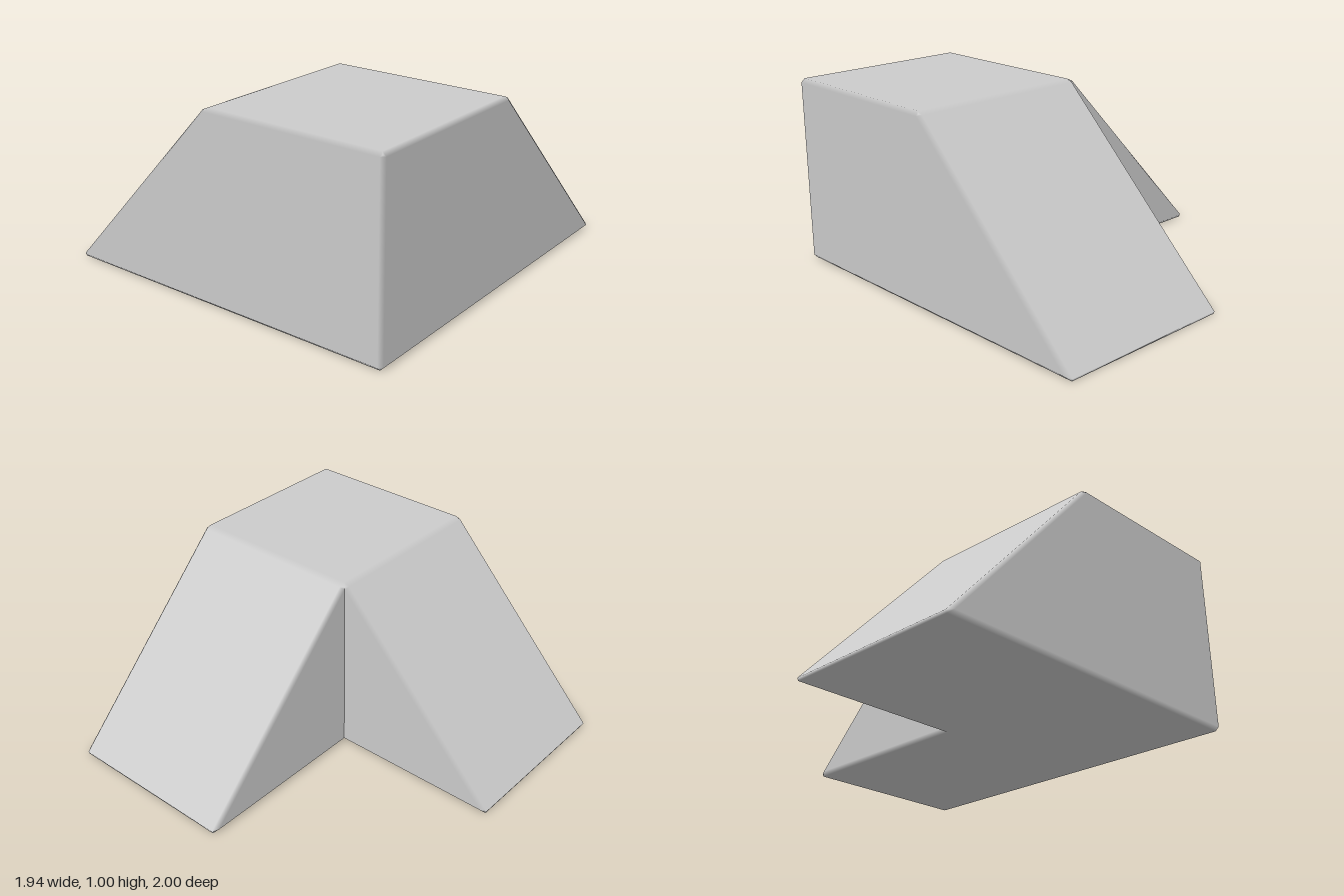
import * as THREE from 'three';

const R = 0.02; // width of the softened edges

// Corners of the L-shaped wedge: a cube with one ramp to -x and one to -z
const V = {
  A: [-0.985, 0, 1], B: [0.97, 0, 1], C: [0.97, 1, 1], D: [-0.035, 1, 1],
  E: [0.97, 1, -0.005], F: [0.97, 0, -1.014], G: [-0.035, 1, -0.005],
  H: [-0.985, 0, -0.005], I: [-0.035, 0, -1.014], J: [-0.035, 0, -0.005],
};
for (const k in V) V[k] = new THREE.Vector3(...V[k]);

// front, right, top, side ramp, back ramp, two notch walls, underside
const FACES = ['ABCD', 'BFEC', 'DCEG', 'HADG', 'FIGE', 'JHG', 'IJG', 'JIFBAH'];
// The inner edge of the notch stays sharp
const inset = (a, b) => (a + b === 'GJ' || a + b === 'JG' ? 0 : R);

function beveledSolid() {
  const pos = [], nor = [];
  const tri = (...pts) => pts.forEach(({ p, n }) => {
    pos.push(p.x, p.y, p.z);
    nor.push(n.x, n.y, n.z);
  });
  const edgeOwner = {}; // 'AB' -> face holding that directed edge

  // Flat faces, each drawn in from its edges
  const faces = FACES.map((names) => {
    const count = names.length, n = new THREE.Vector3(), corner = {}, next = {};
    for (let i = 0; i < count; i++) {
      n.add(new THREE.Vector3().crossVectors(V[names[i]], V[names[(i + 1) % count]]));
    }
    n.normalize();
    const face = { names, corner, next };
    for (let i = 0; i < count; i++) {
      const k = names[i], a = names[(i + count - 1) % count], b = names[(i + 1) % count];
      const toPrev = V[a].clone().sub(V[k]).normalize();
      const toNext = V[b].clone().sub(V[k]).normalize();
      const s = new THREE.Vector3().crossVectors(toNext, toPrev).dot(n);
      const p = V[k].clone()
        .addScaledVector(toNext, inset(a, k) / s)
        .addScaledVector(toPrev, inset(k, b) / s);
      corner[k] = { p, n };
      next[k] = b;
      edgeOwner[k + b] = face;
    }
    for (let i = 1; i < count - 1; i++) {
      tri(corner[names[0]], corner[names[i]], corner[names[i + 1]]);
    }
    return face;
  });

  // Softened strips along the edges, shaded smoothly from face to face
  for (const f of faces) {
    for (const a of f.names) {
      const b = f.next[a];
      if (a > b || inset(a, b) === 0) continue;
      const g = edgeOwner[b + a];
      tri(f.corner[b], f.corner[a], g.corner[a]);
      tri(f.corner[b], g.corner[a], g.corner[b]);
    }
  }

  // Corner caps: a fan through every face that meets at the corner
  for (const k in V) {
    const ring = [], start = faces.find((f) => f.names.includes(k));
    let f = start;
    do {
      ring.unshift(f.corner[k]);
      f = edgeOwner[f.next[k] + k];
    } while (f !== start);
    const mid = { p: new THREE.Vector3(), n: new THREE.Vector3() };
    ring.forEach((c) => {
      mid.p.addScaledVector(c.p, 1 / ring.length);
      mid.n.add(c.n);
    });
    mid.n.normalize();
    ring.forEach((c, i) => tri(mid, c, ring[(i + 1) % ring.length]));
  }

  const geo = new THREE.BufferGeometry();
  geo.setAttribute('position', new THREE.Float32BufferAttribute(pos, 3));
  geo.setAttribute('normal', new THREE.Float32BufferAttribute(nor, 3));
  return geo;
}

export function createModel() {
  const group = new THREE.Group();
  group.name = 'cornerRamp';
  const block = new THREE.Mesh(
    beveledSolid(),
    new THREE.MeshStandardMaterial({ color: 0xcccccc }),
  );
  block.name = 'doubleRampBlock';
  group.add(block);
  return group;
}
